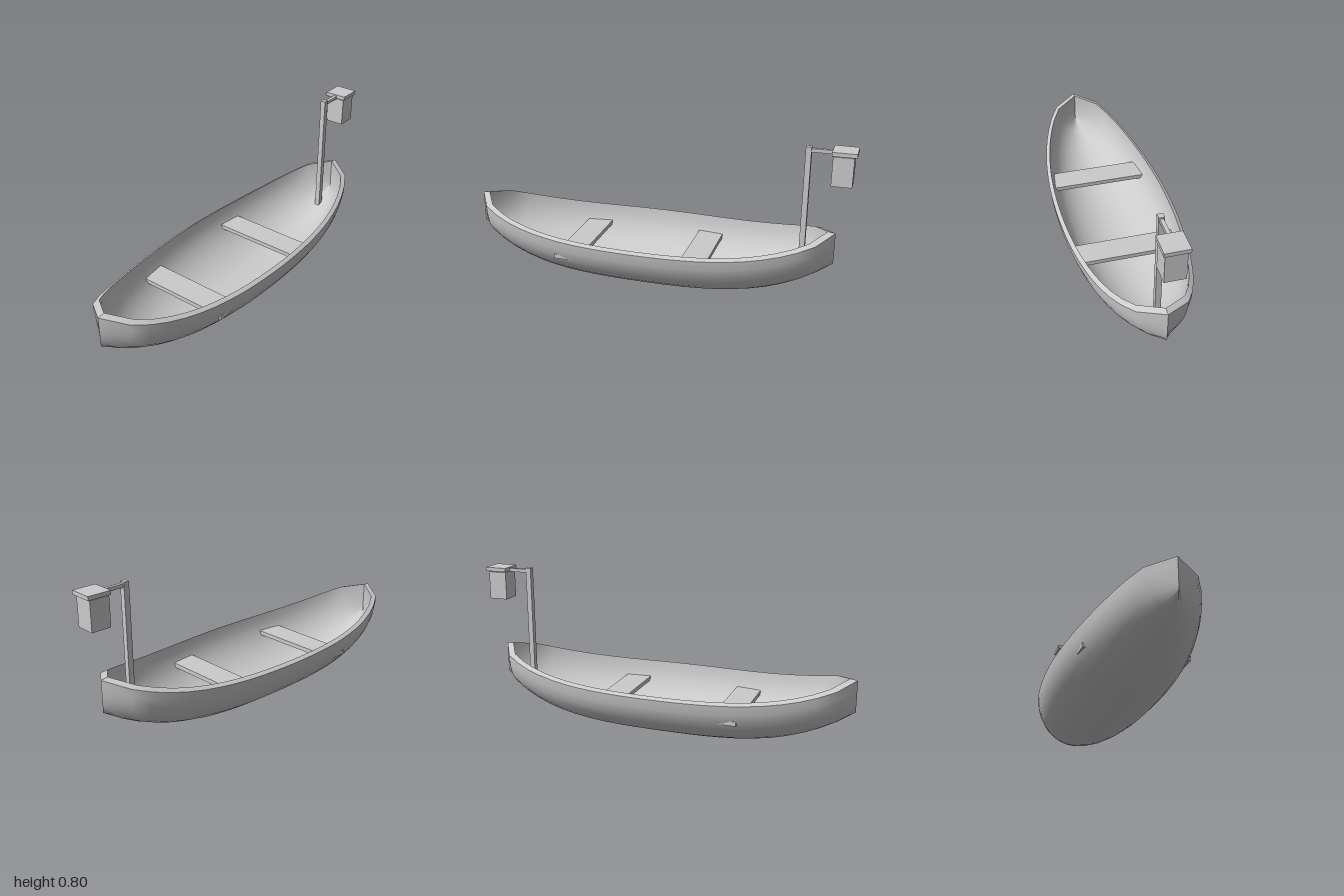
import * as THREE from 'three';

const material = new THREE.MeshStandardMaterial({ color: 0xcccccc, side: THREE.DoubleSide });
const CENTRE = -0.0375; // middle of the hull along x
const STATIONS = 24, RIBS = 16;

// Hull shells: half length, half beam, then sheer and keel heights amidships and their rise at the ends
const OUTER = { length: 0.9625, beam: 0.308, sheer: 0.255, sheerRise: 0.115, keel: 0.002, keelRise: 0.205 };
const INNER = { length: 0.925, beam: 0.288, sheer: 0.267, sheerRise: 0.108, keel: 0.02, keelRise: 0.2 };

// Point on a shell: t runs -1..1 bow to stern, a runs -PI/2..PI/2 around the half-ellipse section
function hullPoint(s, t, a) {
  const rise = Math.pow(Math.abs(t), 3.4);
  const top = s.sheer + s.sheerRise * rise;
  const bottom = s.keel + s.keelRise * rise;
  const width = s.beam * Math.sqrt(Math.max(0, 1 - t * t));
  return [CENTRE + s.length * t, top - (top - bottom) * Math.cos(a), width * Math.sin(a)];
}

// Smooth sheet of quads from a point rule
function sheet(name, rows, cols, point, flip = false) {
  const positions = [], index = [];
  for (let i = 0; i <= rows; i++) {
    for (let j = 0; j <= cols; j++) positions.push(...point(i / rows, j / cols));
  }
  for (let i = 0; i < rows; i++) {
    for (let j = 0; j < cols; j++) {
      const a = i * (cols + 1) + j, b = a + cols + 1, c = a + 1, d = b + 1;
      if (flip) index.push(a, c, b, b, c, d);
      else index.push(a, b, c, b, d, c);
    }
  }
  const geometry = new THREE.BufferGeometry();
  geometry.setAttribute('position', new THREE.Float32BufferAttribute(positions, 3));
  geometry.setIndex(index);
  geometry.computeVertexNormals();
  const mesh = new THREE.Mesh(geometry, material);
  mesh.name = name;
  return mesh;
}

// Box given by its lower and upper limits, centred on z = 0
function box(name, x0, x1, y0, y1, halfZ) {
  const mesh = new THREE.Mesh(new THREE.BoxGeometry(x1 - x0, y1 - y0, halfZ * 2), material);
  mesh.position.set((x0 + x1) / 2, (y0 + y1) / 2, 0);
  mesh.name = name;
  return mesh;
}

export function createModel() {
  const boat = new THREE.Group();
  boat.name = 'rowingBoat';

  // Hull skin, inside lining and the rim joining them
  const hull = new THREE.Group();
  hull.name = 'hull';
  const shell = (s) => (u, v) => hullPoint(s, u * 2 - 1, (v - 0.5) * Math.PI);
  hull.add(sheet('hullOutside', STATIONS, RIBS, shell(OUTER)));
  hull.add(sheet('hullInside', STATIONS, RIBS, shell(INNER), true));
  for (const side of [1, -1]) {
    const rim = (u, v) => hullPoint(v === 0 ? OUTER : INNER, u * 2 - 1, side * Math.PI / 2);
    hull.add(sheet(side > 0 ? 'frontRim' : 'backRim', STATIONS, 1, rim, side < 0));
  }
  boat.add(hull);

  // Two bench seats
  boat.add(box('bowSeat', -0.47, -0.335, 0.157, 0.18, 0.263));
  boat.add(box('sternSeat', 0.17, 0.305, 0.157, 0.18, 0.263));

  // Lantern hung from a post
  const lantern = new THREE.Group();
  lantern.name = 'lanternPost';
  lantern.add(
    box('post', 0.752, 0.78, 0.13, 0.803, 0.014),
    box('arm', 0.766, 0.94, 0.777, 0.795, 0.009),
    box('lanternBody', 0.885, 0.985, 0.63, 0.777, 0.05),
    box('lanternRoof', 0.88, 0.998, 0.782, 0.802, 0.059),
  );
  boat.add(lantern);

  return boat;
}
